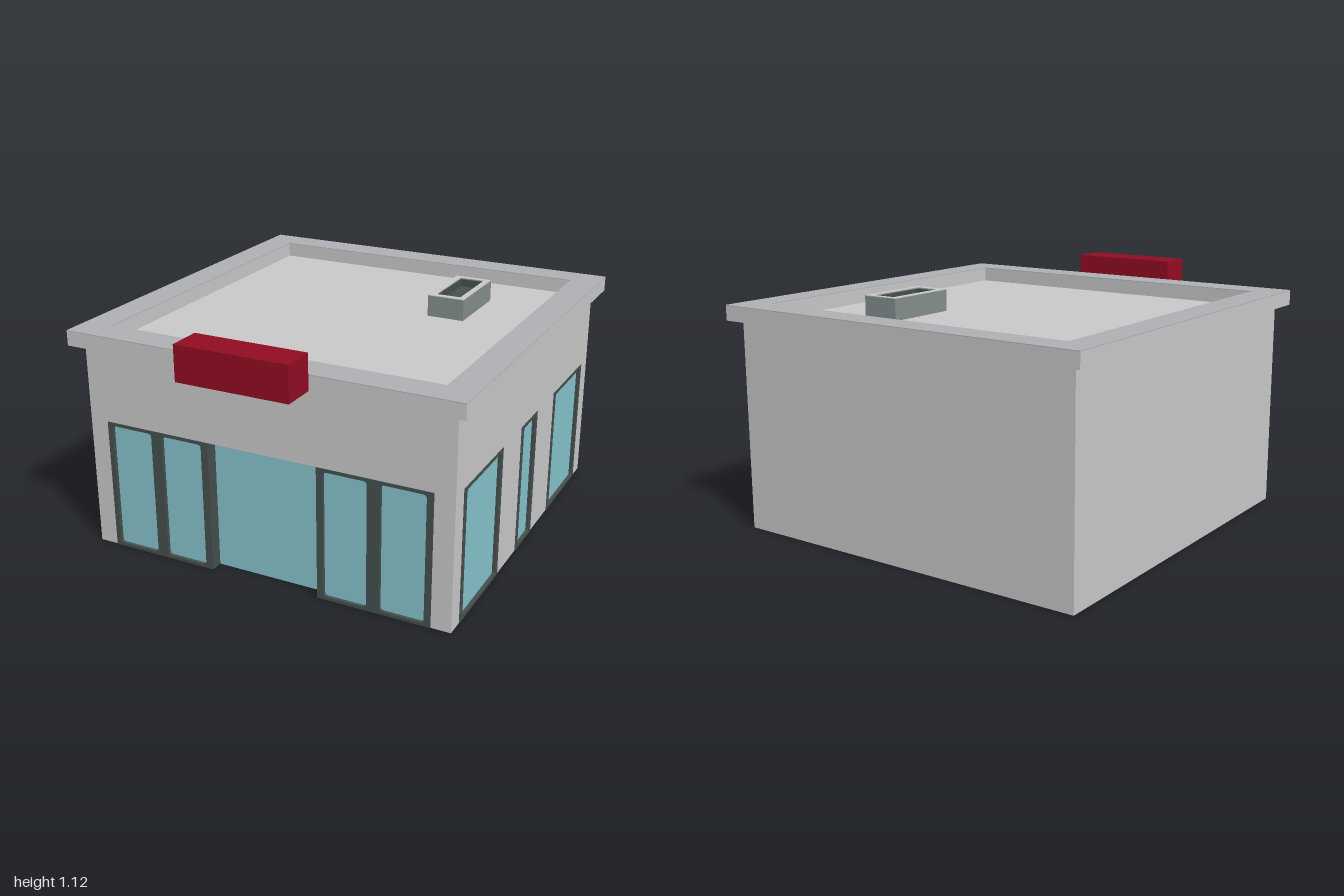
import * as THREE from 'three';

const mat = (name, color, side = THREE.FrontSide) => {
  const m = new THREE.MeshStandardMaterial({ color, side });
  m.name = name;
  return m;
};

// Rectangle as a shape or hole, with optional rounded corners
function rect(P, x0, y0, x1, y1, r = 0) {
  const p = new P();
  if (!r) {
    p.moveTo(x0, y0).lineTo(x1, y0).lineTo(x1, y1).lineTo(x0, y1).closePath();
    return p;
  }
  p.moveTo(x0 + r, y0).lineTo(x1 - r, y0).quadraticCurveTo(x1, y0, x1, y0 + r);
  p.lineTo(x1, y1 - r).quadraticCurveTo(x1, y1, x1 - r, y1);
  p.lineTo(x0 + r, y1).quadraticCurveTo(x0, y1, x0, y1 - r);
  p.lineTo(x0, y0 + r).quadraticCurveTo(x0, y0, x0 + r, y0);
  return p;
}

const extrude = (shape, depth) =>
  new THREE.ExtrudeGeometry(shape, { depth, bevelEnabled: false, curveSegments: 4 });

export function createModel() {
  const wall = mat('wall', 0xc9c9c9);
  const coping = mat('coping', 0xafb0b5);
  const frame = mat('frame', 0x464f4f);
  const glass = mat('glass', 0x87c4cc, THREE.DoubleSide);
  const red = mat('red', 0x920c22);
  const metal = mat('metal', 0x848e8e);

  const model = new THREE.Group();
  model.name = 'building';
  const add = (name, geo, material, parent = model) => {
    const m = new THREE.Mesh(geo, material);
    m.name = name;
    parent.add(m);
    return m;
  };
  const box = (name, x0, x1, y0, y1, z0, z1, material) =>
    add(name, new THREE.BoxGeometry(x1 - x0, y1 - y0, z1 - z0)
      .translate((x0 + x1) / 2, (y0 + y1) / 2, (z0 + z1) / 2), material);

  const H = 0.96, WIN = 0.61;

  // Wall skin with openings that reach the ground
  function wallSkin(u0, u1, openings) {
    const s = new THREE.Shape();
    s.moveTo(u0, 0);
    for (const [a, b] of openings) s.lineTo(a, 0).lineTo(a, WIN).lineTo(b, WIN).lineTo(b, 0);
    s.lineTo(u1, 0).lineTo(u1, H).lineTo(u0, H).closePath();
    return s;
  }

  // Window: frame from u0 to u1 with panes; the outer wall face is local z = 0
  function windowUnit(name, parent, u0, u1, panes, depth) {
    const g = new THREE.Group();
    g.name = name;
    parent.add(g);
    const s = rect(THREE.Shape, u0, 0, u1, WIN);
    for (const [a, b] of panes) s.holes.push(rect(THREE.Path, a, 0.015, b, 0.595, 0.018));
    add('windowFrame', extrude(s, depth + 0.003).translate(0, 0, -depth), frame, g);
    for (const [a, b] of panes) {
      add('windowPane', new THREE.PlaneGeometry(b - a, 0.58)
        .translate((a + b) / 2, 0.305, -0.012), glass, g);
    }
  }

  // Main body
  box('body', -0.87, 0.84, 0, H, -0.95, 0.73, wall);

  // Shop front with a recessed glass entrance
  const front = new THREE.Group();
  front.name = 'shopFront';
  front.position.z = 0.79;
  model.add(front);
  add('frontWall', extrude(wallSkin(-0.87, 0.84, [[-0.78, 0.78]]), 0.06).translate(0, 0, -0.06), wall, front);
  windowUnit('frontWindowRight', front, -0.78, -0.26, [[-0.755, -0.55], [-0.495, -0.295]], 0.06);
  windowUnit('frontWindowLeft', front, 0.26, 0.78, [[0.29, 0.49], [0.55, 0.75]], 0.06);
  add('entranceGlass', new THREE.PlaneGeometry(0.52, WIN).translate(0, WIN / 2, -0.055), glass, front);

  // Side wall with three windows (local u runs towards -z)
  const side = new THREE.Group();
  side.name = 'windowSide';
  side.rotation.y = Math.PI / 2;
  side.position.x = 0.87;
  model.add(side);
  const spans = [[-0.705, -0.265], [-0.03, 0.18], [0.42, 0.855]];
  add('sideWall', extrude(wallSkin(-0.79, 0.95, spans), 0.03).translate(0, 0, -0.03), wall, side);
  for (const [a, b] of spans) windowUnit('sideWindow', side, a, b, [[a + 0.028, b - 0.028]], 0.03);

  // Flat ring lying in the xz plane
  function ring(x0, x1, z0, z1, ix0, ix1, iz0, iz1, y, h) {
    const s = rect(THREE.Shape, x0, -z1, x1, -z0);
    s.holes.push(rect(THREE.Path, ix0, -iz1, ix1, -iz0));
    return extrude(s, h).rotateX(-Math.PI / 2).translate(0, y, 0);
  }

  // Parapet around the sunken roof, with a darker coping on top
  const parapet = [-0.92, 0.92, -1, 0.845, -0.785, 0.785, -0.865, 0.705];
  add('parapet', ring(...parapet, H, 0.067), wall);
  add('coping', ring(...parapet, 1.027, 0.003), coping);

  // Sign box on the front edge
  box('signBox', -0.26, 0.26, 0.96, 1.12, 0.845, 1, red);

  // Roof vent: housing, pale rim and dark sunken opening
  const vent = [0.3, 0.475, -0.59, -0.235, 0.33, 0.447, -0.565, -0.265];
  add('ventHousing', ring(...vent, H, 0.098), metal);
  add('ventRim', ring(...vent, 1.058, 0.003), wall);
  add('ventLining', ring(0.33, 0.447, -0.565, -0.265, 0.334, 0.443, -0.561, -0.269, H, 0.094), frame);
  box('ventFloor', 0.332, 0.445, H, 1.02, -0.563, -0.267, frame);

  return model;
}
